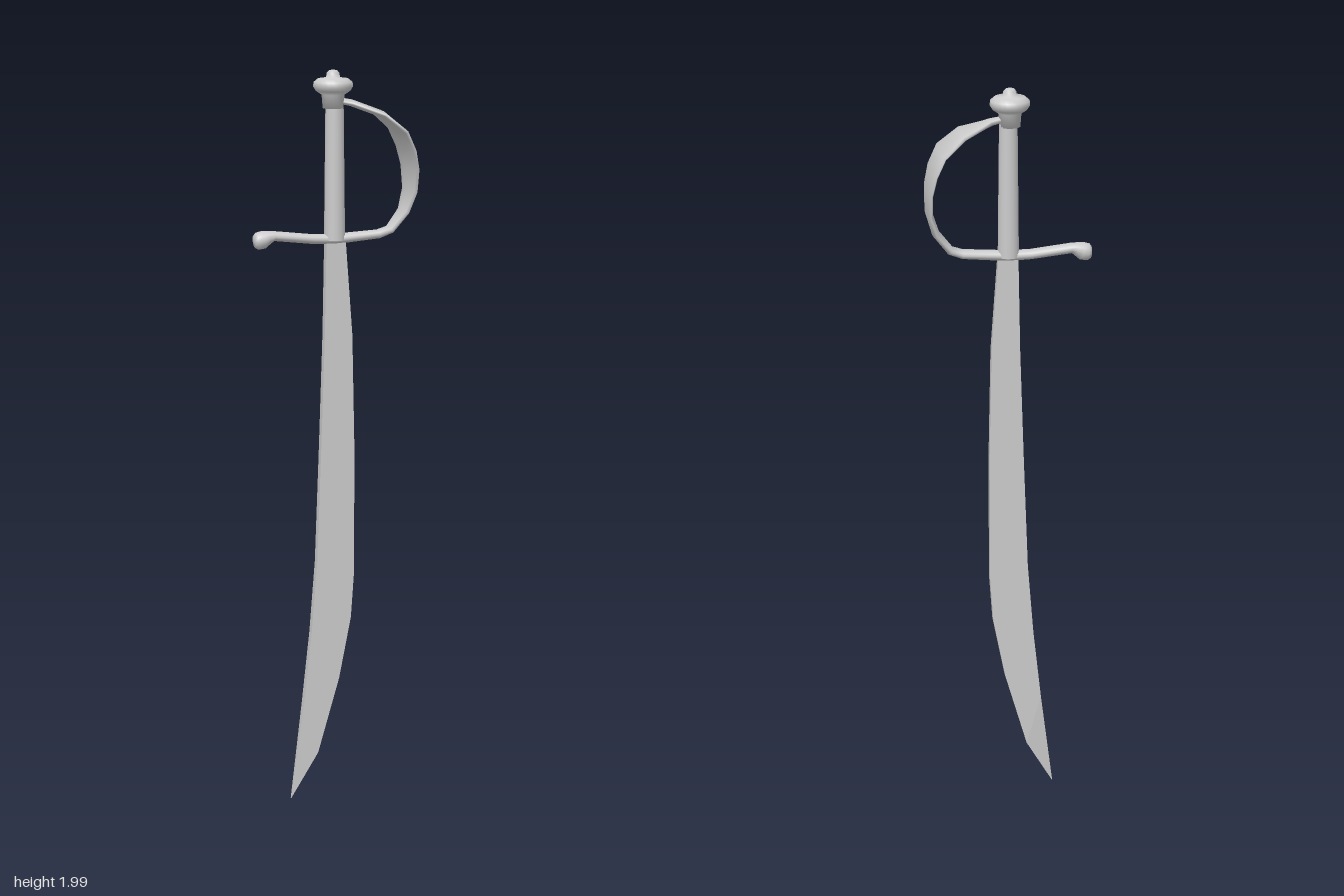
import * as THREE from 'three';

const steel = new THREE.MeshStandardMaterial({ color: 0xcccccc, side: THREE.DoubleSide });

function part(name, geometry, group) {
  const mesh = new THREE.Mesh(geometry, steel);
  mesh.name = name;
  group.add(mesh);
  return mesh;
}

// Sweeps an ellipse along stations [x, y, half thickness, half width in z].
function loft(stations, sides) {
  const pos = [], index = [];
  const n = stations.length;
  stations.forEach(([x, y, t, w], i) => {
    const a = stations[Math.max(i - 1, 0)], b = stations[Math.min(i + 1, n - 1)];
    const d = new THREE.Vector2(b[0] - a[0], b[1] - a[1]).normalize();
    for (let j = 0; j < sides; j++) {
      const ang = (j / sides) * Math.PI * 2;
      const c = Math.cos(ang) * t;
      pos.push(x - d.y * c, y + d.x * c, Math.sin(ang) * w);
      if (i < n - 1) {
        const k = (j + 1) % sides;
        const p = i * sides + j, q = i * sides + k;
        index.push(p, q, p + sides, q, q + sides, p + sides);
      }
    }
  });
  const g = new THREE.BufferGeometry();
  g.setAttribute('position', new THREE.Float32BufferAttribute(pos, 3));
  g.setIndex(index);
  g.computeVertexNormals();
  return g;
}

export function createModel() {
  const sword = new THREE.Group();
  sword.name = 'sabre';

  // Curved blade: flat slab that thins out toward the tip
  const outline = [
    [-0.025, 1.56], [-0.03, 1.3], [-0.04, 1.0], [-0.052, 0.68], [-0.068, 0.48], [-0.09, 0.28],
    [-0.125, 0.01], [-0.05, 0.14], [0.01, 0.35], [0.043, 0.52], [0.052, 0.65],
    [0.052, 1.0], [0.046, 1.3], [0.027, 1.56],
  ].map(([x, y]) => new THREE.Vector2(x, y));
  const blade = new THREE.ExtrudeGeometry(new THREE.Shape(outline), { depth: 0.024, bevelEnabled: false });
  blade.translate(0, 0, -0.012);
  const p = blade.attributes.position;
  for (let i = 0; i < p.count; i++) {
    p.setZ(i, p.getZ(i) * THREE.MathUtils.clamp(0.1 + p.getY(i) / 0.15, 0.1, 1));
  }
  blade.computeVertexNormals();
  part('blade', blade, sword);

  // Grip
  const grip = new THREE.CylinderGeometry(0.024, 0.028, 0.36, 16);
  part('grip', grip, sword).position.set(0, 1.735, 0);

  // Pommel with collar and top button
  const profile = [
    [0, 1.9], [0.027, 1.9], [0.03, 1.935], [0.045, 1.945], [0.052, 1.956], [0.051, 1.968],
    [0.04, 1.977], [0.018, 1.98], [0.017, 1.991], [0.011, 1.998], [0, 2.0],
  ].map(([x, y]) => new THREE.Vector2(x, y));
  part('pommel', new THREE.LatheGeometry(profile, 24), sword).position.x = -0.004;

  // Knuckle guard: narrow at the pommel, broad plate, narrowing into the crossguard
  const guard = [
    [0.0, 1.922, 0.008, 0.01], [0.045, 1.913, 0.009, 0.021], [0.12, 1.885, 0.009, 0.073],
    [0.173, 1.84, 0.009, 0.092], [0.196, 1.79, 0.009, 0.09], [0.207, 1.74, 0.009, 0.08],
    [0.207, 1.68, 0.009, 0.062], [0.19, 1.625, 0.01, 0.042], [0.152, 1.577, 0.011, 0.026],
    [0.12, 1.566, 0.012, 0.022], [0.0, 1.557, 0.014, 0.019], [-0.06, 1.559, 0.013, 0.019],
    [-0.165, 1.571, 0.013, 0.021],
    // end knob
    [-0.18, 1.568, 0.018, 0.022], [-0.195, 1.562, 0.024, 0.024],
    [-0.21, 1.559, 0.023, 0.023], [-0.218, 1.558, 0.016, 0.018], [-0.22, 1.558, 0.0005, 0.0005],
  ];
  part('guard', loft(guard, 12), sword);

  return sword;
}
